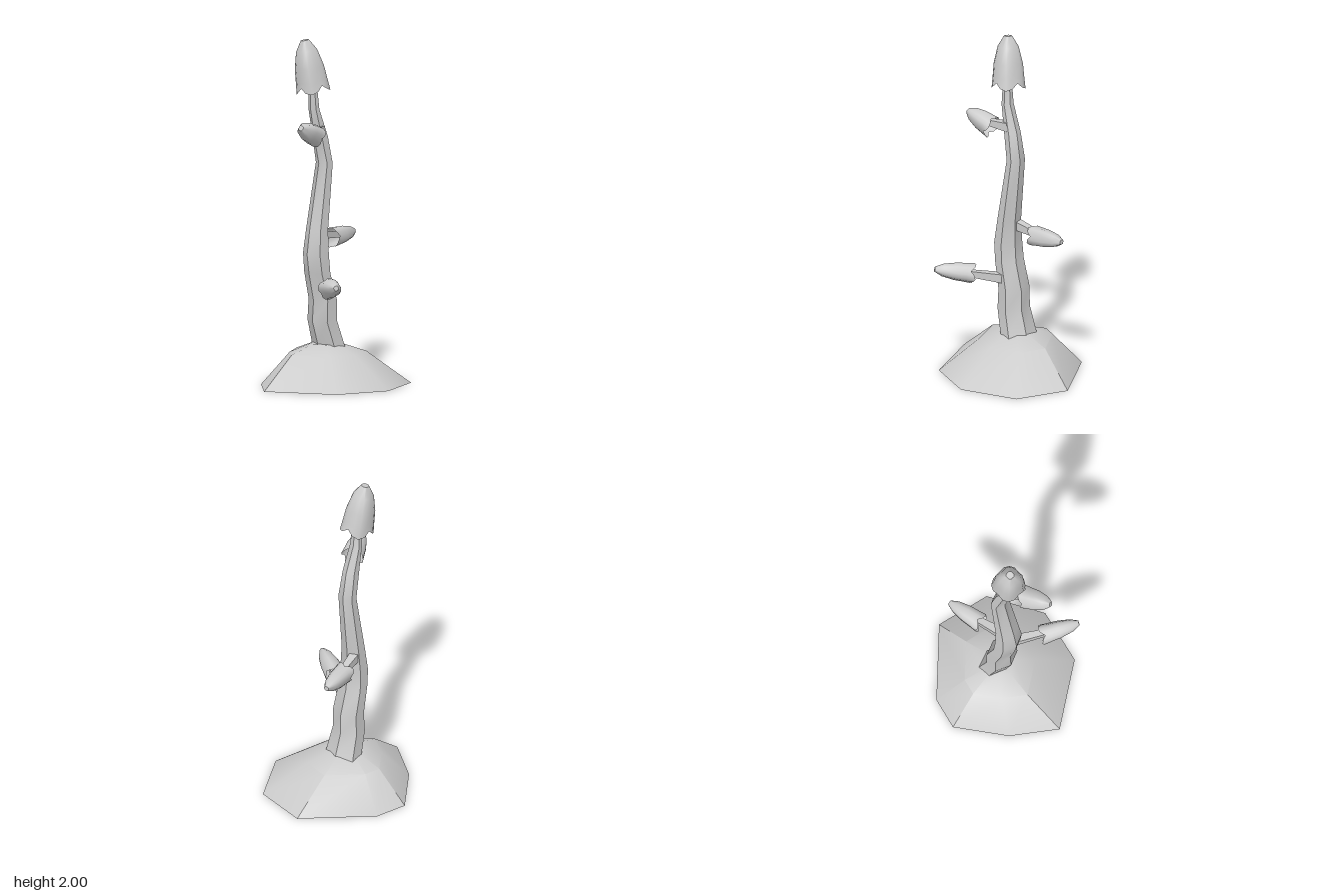
import * as THREE from 'three';
import { toCreasedNormals } from 'three/addons/utils/BufferGeometryUtils.js';

const V = (x, y, z) => new THREE.Vector3(x, y, z);

// Skin a stack of rings (listed bottom to top), optionally closing the ends.
function loft(rings, { bottom = false, top = false, crease = 0.7 } = {}) {
  const n = rings[0].length;
  const pos = rings.flat().flatMap(p => [p.x, p.y, p.z]);
  const idx = [];
  for (let r = 0; r < rings.length - 1; r++) {
    for (let i = 0; i < n; i++) {
      const a = r * n + i, b = r * n + (i + 1) % n;
      idx.push(a, a + n, b, b, a + n, b + n);
    }
  }
  const cap = (r, up) => {
    const c = pos.length / 3;
    const mid = rings[r].reduce((s, p) => s.add(p), V(0, 0, 0)).divideScalar(n);
    pos.push(mid.x, mid.y, mid.z);
    for (let i = 0; i < n; i++) {
      const a = r * n + i, b = r * n + (i + 1) % n;
      idx.push(c, ...(up ? [b, a] : [a, b]));
    }
  };
  if (bottom) cap(0, false);
  if (top) cap(rings.length - 1, true);
  const g = new THREE.BufferGeometry();
  g.setAttribute('position', new THREE.Float32BufferAttribute(pos, 3));
  g.setIndex(idx);
  return toCreasedNormals(g, crease);
}

// Hollow blunt-tipped cap with a scalloped rim, built along +y, length 1.
function budGeometry(radius, length) {
  const profile = [[1, 0], [0.93, 0.22], [0.86, 0.48], [0.62, 0.8], [0.24, 1]];
  const n = 16;
  const rings = profile.map(([r, t], k) => Array.from({ length: n }, (_, i) => {
    const a = (i / n) * Math.PI * 2;
    const corner = Math.abs(Math.sin(2 * a));          // 1 at the four corners
    const rr = radius * r * (0.98 + 0.14 * corner);
    const arch = k === 0 ? (1 - corner) * 0.13 : 0;
    return V(Math.cos(a) * rr, (t + arch) * length, Math.sin(a) * rr);
  }));
  return loft(rings, { top: true, crease: 0.9 });
}

export function createModel() {
  const group = new THREE.Group();
  const material = new THREE.MeshStandardMaterial({ color: 0xcccccc });
  const openMaterial = new THREE.MeshStandardMaterial({ color: 0xcccccc, side: THREE.DoubleSide });
  const add = (name, geometry, mat = material) => {
    const mesh = new THREE.Mesh(geometry, mat);
    mesh.name = name;
    group.add(mesh);
    return mesh;
  };

  // Irregular faceted mound
  const outline = [[-0.03, -0.435], [0.155, -0.385], [0.47, -0.05], [0.4, 0.265],
    [0.09, 0.43], [-0.23, 0.35], [-0.47, -0.01], [-0.295, -0.245]];
  const moundRings = [[1, 0, 0], [0.51, 0.185, -0.035], [0.2, 0.235, -0.03]].map(
    ([s, y, dz]) => outline.map(([x, z]) => V(x * s, y, z * s + dz)));
  add('mound', loft(moundRings, { bottom: true, top: true, crease: 0.55 }));

  // Crooked six-sided stem: y, left x, right x, back z, front z
  const sections = [
    [0.2, -0.05, 0.115, -0.13, 0.075], [0.24, -0.055, 0.1, -0.125, 0.07],
    [0.37, -0.093, 0.056, -0.115, 0.06], [0.49, -0.085, 0.055, -0.112, 0.058],
    [0.65, -0.12, 0.005, -0.105, 0.053], [0.76, -0.135, -0.002, -0.1, 0.05],
    [0.9, -0.115, -0.003, -0.09, 0.038], [1.28, -0.043, 0.04, -0.08, 0.02],
    [1.44, -0.078, 0.01, -0.072, 0.013], [1.6, -0.105, -0.055, -0.063, 0.004],
    [1.77, -0.105, -0.068, -0.055, -0.01]];
  const stemRings = sections.map(([y, x0, x1, z0, z1]) => Array.from({ length: 6 }, (_, i) => {
    const a = (i / 6) * Math.PI * 2;
    return V((x0 + x1) / 2 + Math.cos(a) * (x1 - x0) / 2, y,
      (z0 + z1) / 2 + Math.sin(a) * (z1 - z0) / 2 / 0.866);
  }));
  add('stem', loft(stemRings, { top: true, crease: 0.6 }));

  // Buds: rim centre, tip, rim radius, and where the twig leaves the stem
  const buds = [
    ['topBud', V(-0.078, 1.695, -0.035), V(-0.12, 1.998, -0.063), 0.088, null],
    ['leftBud', V(0.085, 0.83, -0.085), V(0.305, 0.845, -0.13), 0.056, V(-0.03, 0.865, -0.06)],
    ['frontBud', V(-0.136, 0.583, 0.165), V(-0.248, 0.62, 0.366), 0.056, V(-0.035, 0.555, 0.03)],
    ['rightBud', V(-0.125, 1.453, 0.04), V(-0.287, 1.522, 0.1), 0.06, V(-0.045, 1.475, -0.01)]];
  const up = V(0, 1, 0);
  for (const [name, base, tip, radius, root] of buds) {
    const axis = tip.clone().sub(base);
    const bud = add(name, budGeometry(radius, axis.length()), openMaterial);
    bud.position.copy(base);
    bud.quaternion.setFromUnitVectors(up, axis.clone().normalize());
    if (!root) continue;
    // Square tapering twig running into the hollow bud
    const end = base.clone().addScaledVector(axis, 0.45);
    const dir = end.clone().sub(root);
    const side = V(dir.z, 0, -dir.x).normalize();
    const over = side.clone().cross(dir).normalize();
    const ring = (c, h) => [[-1, -1], [-1, 1], [1, 1], [1, -1]].map(([s, t]) =>
      c.clone().addScaledVector(side, s * h).addScaledVector(over, t * h));
    add(name + 'Twig', loft([ring(root, 0.026), ring(end, 0.014)], { bottom: true, top: true }), openMaterial);
  }
  return group;
}
